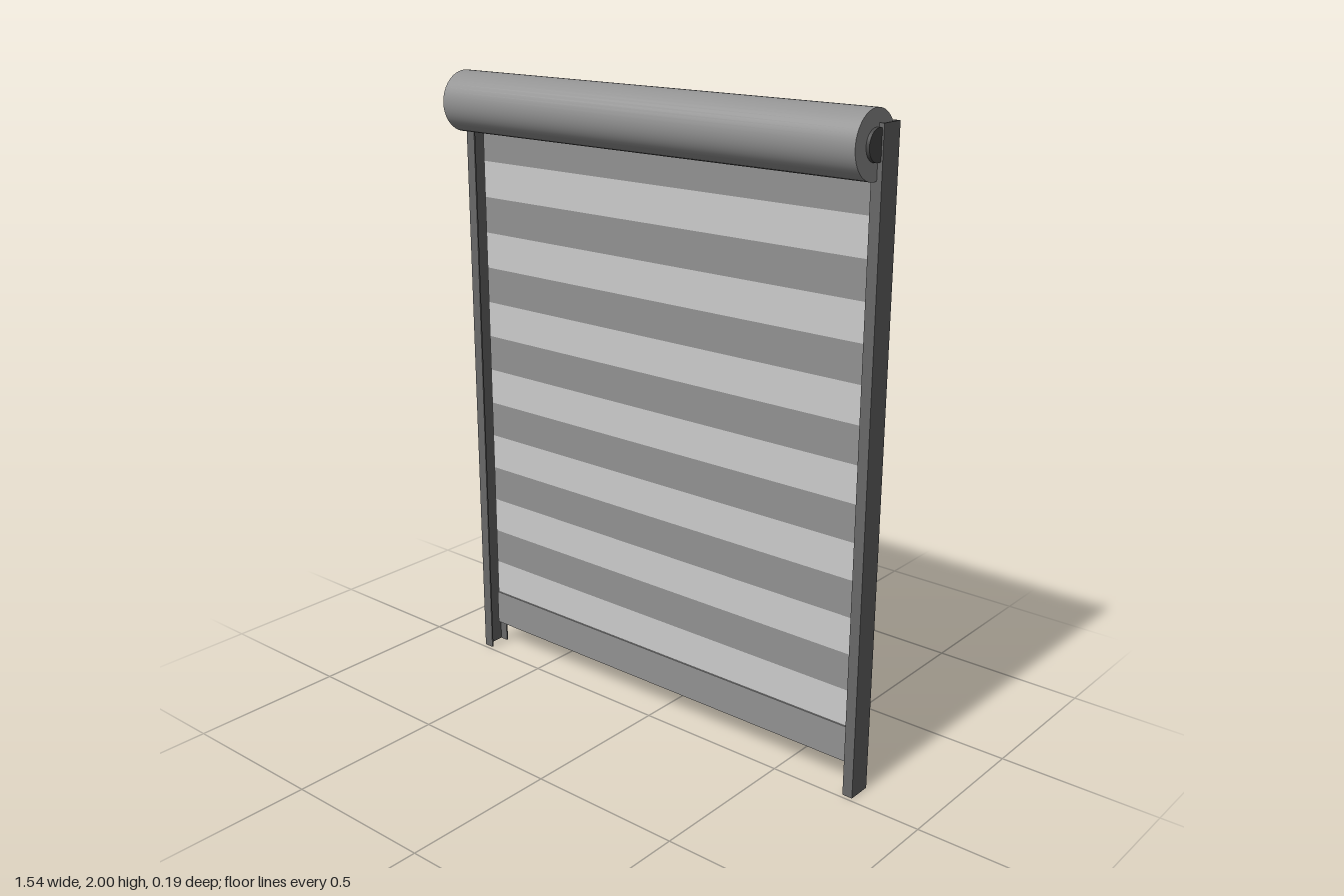
import * as THREE from 'three';

const material = (color) => new THREE.MeshStandardMaterial({ color });

export function createModel() {
  const group = new THREE.Group();
  const light = material(0xcccccc);
  const mid = material(0x929292);
  const railGrey = material(0x686868);
  const dark = material(0x484848);

  const add = (name, geometry, mat, x = 0, y = 0, z = 0) => {
    const mesh = new THREE.Mesh(geometry, mat);
    mesh.name = name;
    mesh.position.set(x, y, z);
    group.add(mesh);
    return mesh;
  };

  // Rolled-up fabric, with the core sticking out at both ends
  const rollY = 1.905;
  const rod = (radius, length) =>
    new THREE.CylinderGeometry(radius, radius, length, 48).rotateZ(Math.PI / 2);
  add('roller', rod(0.095, 1.51), mid, 0, rollY, 0);
  add('rollerCore', rod(0.045, 1.53), dark, 0, rollY, 0);

  // Side rails: U channels that open towards the fabric
  const [inner, outer, front, back, wall] = [0.737, 0.77, 0.013, 0.09, 0.005];
  for (const side of [1, -1]) {
    const profile = [
      [inner, front], [outer, front], [outer, back], [inner, back],
      [inner, back - wall], [outer - wall, back - wall],
      [outer - wall, front + wall], [inner, front + wall],
    ].map(([x, y]) => new THREE.Vector2(side * x, y));
    const channel = new THREE.ExtrudeGeometry(new THREE.Shape(profile), {
      depth: 1.96, bevelEnabled: false,
    }).rotateX(-Math.PI / 2);
    add(side > 0 ? 'leftRail' : 'rightRail', channel, railGrey);
  }

  // Fabric bands, alternating light and dark up to the roller
  const bottom = 0.2, step = 0.1162, bands = 15;
  for (let i = 0; i < bands; i++) {
    const isLight = i % 2 === 0;
    add(isLight ? 'lightBand' : 'darkBand',
      new THREE.BoxGeometry(1.48, step, 0.028),
      isLight ? light : mid, 0, bottom + (i + 0.5) * step, -0.07);
  }

  // Weighted bar along the lower edge
  add('bottomBar', new THREE.BoxGeometry(1.48, 0.115, 0.034), mid, 0, 0.1425, -0.068);

  return group;
}
